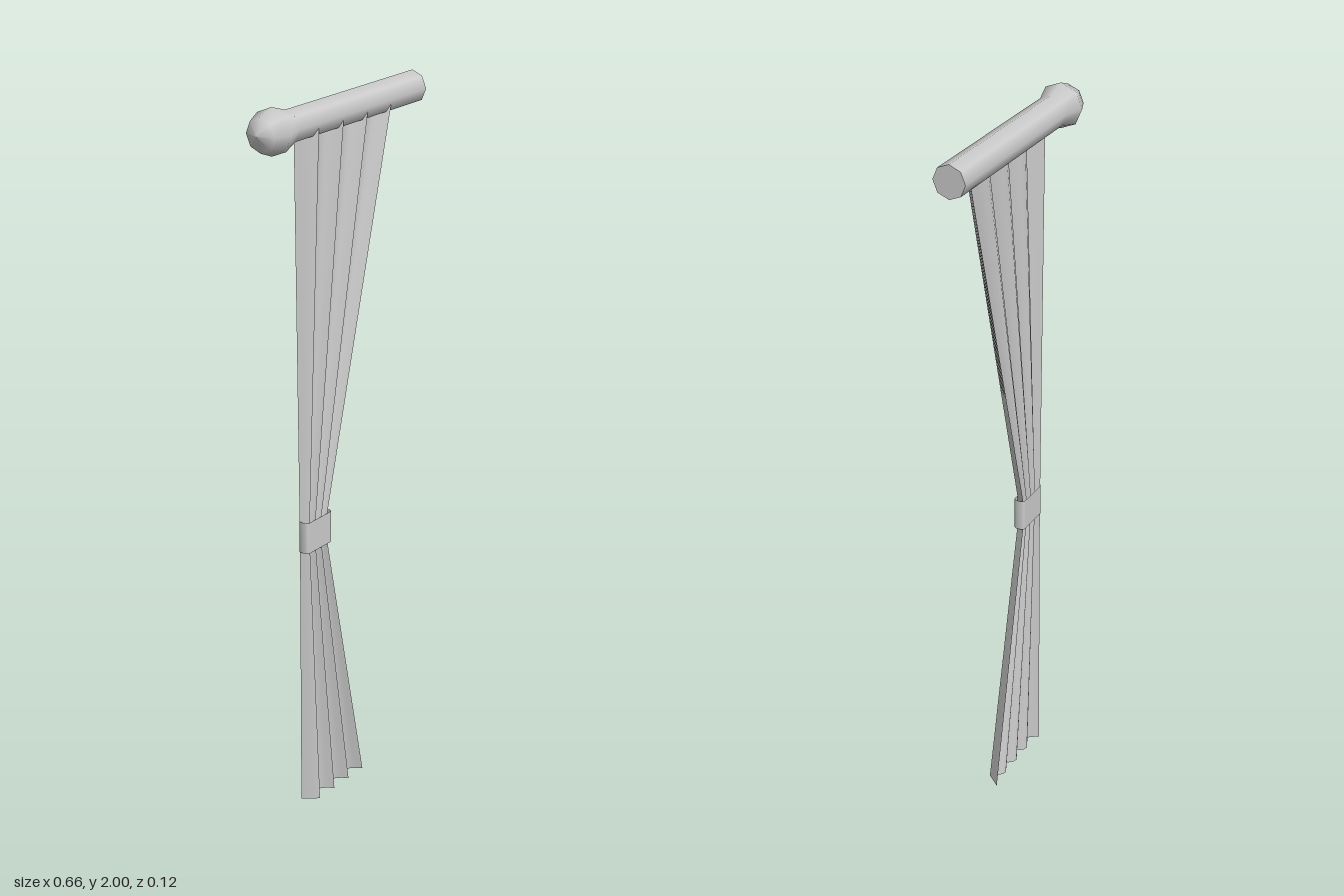
import * as THREE from 'three';
import { mergeGeometries } from 'three/addons/utils/BufferGeometryUtils.js';

const ROD_Y = 1.94, ROD_R = 0.045, SIDES = 8, STEPS = 6;

// Curtain rows: height, left and right edge, back depth and front depth
const ROWS = [
  { y: 0, left: -0.17, right: 0.10, back: 0, front: 0.04 },
  { y: 0.77, left: -0.172, right: -0.069, back: 0.003, front: 0.027 },
  { y: 0.86, left: -0.173, right: -0.069, back: 0.003, front: 0.027 },
  { y: 1.94, left: -0.182, right: 0.234, back: 0, front: 0.04 },
];

// One smooth strip of cloth between two sharp ridges; u runs across the curtain, depth(t) gives 0..1
function clothStrip(u0, u1, depth) {
  const pos = [], index = [];
  ROWS.forEach((r, j) => {
    for (let i = 0; i <= STEPS; i++) {
      const t = i / STEPS, u = u0 + (u1 - u0) * t;
      pos.push(r.left + (r.right - r.left) * u, r.y, r.back + (r.front - r.back) * depth(t));
      if (j && i) {
        const c = j * (STEPS + 1) + i, d = c - STEPS - 1;
        index.push(d - 1, d, c, d - 1, c, c - 1);
      }
    }
  });
  const g = new THREE.BufferGeometry();
  g.setAttribute('position', new THREE.Float32BufferAttribute(pos, 3));
  g.setIndex(index);
  g.computeVertexNormals();
  return g;
}

export function createModel() {
  const group = new THREE.Group();
  const solid = new THREE.MeshStandardMaterial({ color: 0xcccccc });
  const cloth = new THREE.MeshStandardMaterial({ color: 0xcccccc, side: THREE.DoubleSide });
  const add = (name, geometry, material) => {
    const mesh = new THREE.Mesh(geometry, material);
    mesh.name = name;
    group.add(mesh);
    return mesh;
  };

  // Rod with its ball finial, turned as one profile and laid along x
  const profile = [[ROD_R, -0.33], [ROD_R, 0.215], [0.062, 0.27], [0.045, 0.314], [0, 0.33]]
    .map(([r, h]) => new THREE.Vector2(r, h));
  add('curtainRod', new THREE.LatheGeometry(profile, SIDES).rotateZ(Math.PI / 2).translate(0, ROD_Y, 0), solid);
  add('rodEndCap', new THREE.CircleGeometry(ROD_R, SIDES).rotateY(Math.PI / 2).translate(0.33, ROD_Y, 0), solid);

  // Curtain: four sharp ridges with rounded hollows between, half folds at both edges
  const hollow = t => 1 - 0.85 * Math.sin(Math.PI * t);
  const strips = [clothStrip(0, 0.125, t => Math.sin(t * Math.PI / 2) * 0.3 + t * 0.7)];
  for (let i = 0; i < 3; i++) strips.push(clothStrip(0.125 + i * 0.25, 0.375 + i * 0.25, hollow));
  strips.push(clothStrip(0.875, 1, t => 1 - t));
  add('curtain', mergeGeometries(strips), cloth);

  // Tie band: flattened ring around the gathered cloth
  const band = new THREE.Shape();
  const w = 0.056, d = 0.016, c = 0.01;
  band.moveTo(-w + c, -d);
  band.lineTo(w - c, -d);
  band.quadraticCurveTo(w, -d, w, 0);
  band.quadraticCurveTo(w, d, w - c, d);
  band.lineTo(-w + c, d);
  band.quadraticCurveTo(-w, d, -w, 0);
  band.quadraticCurveTo(-w, -d, -w + c, -d);
  const outline = band.getPoints(4);
  const pos = [], index = [];
  outline.forEach((p, i) => {
    pos.push(p.x, -0.045, p.y, p.x, 0.045, p.y);
    if (i) index.push(2 * i - 2, 2 * i - 1, 2 * i + 1, 2 * i - 2, 2 * i + 1, 2 * i);
  });
  const ring = new THREE.BufferGeometry();
  ring.setAttribute('position', new THREE.Float32BufferAttribute(pos, 3));
  ring.setIndex(index);
  ring.computeVertexNormals();
  add('tieBand', ring, cloth).position.set(-0.12, 0.815, 0.015);

  return group;
}
